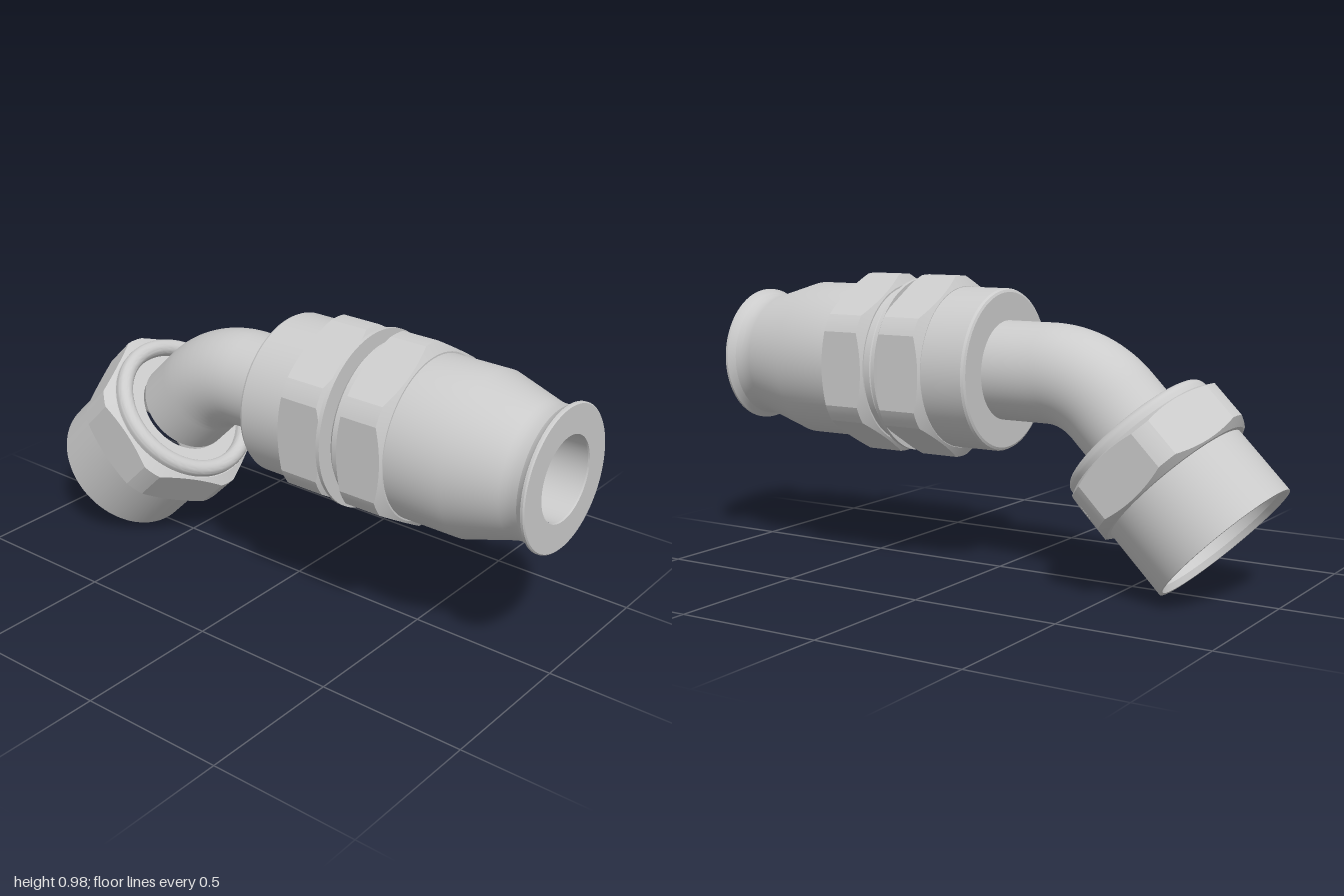
import * as THREE from 'three';
import { toCreasedNormals } from 'three/addons/utils/BufferGeometryUtils.js';

const AXIS_Y = 0.675, BEND = Math.PI / 4;
const TUBE_R = 0.165, BORE_R = 0.136;
const HEX = { flat: 0.28, corner: 0.307, face: 0.272, slope: 0.58, segs: 120 };
const grey = new THREE.MeshStandardMaterial({ color: 0xcccccc });
const greyOpen = new THREE.MeshStandardMaterial({ color: 0xcccccc, side: THREE.DoubleSide });

function part(name, geometry, material = grey) {
  const mesh = new THREE.Mesh(geometry, material);
  mesh.name = name;
  return mesh;
}

// Turned part from [radius, height] pairs, outer side running upward
function turned(name, profile) {
  const pts = profile.map(([r, y]) => new THREE.Vector2(r, y));
  return part(name, toCreasedNormals(new THREE.LatheGeometry(pts, 96), 0.3));
}

// Radius of a hexagon with rounded-off corners, flats at multiples of 60 degrees
function hexRadius(phi) {
  const sector = Math.PI / 3;
  const a = phi - sector * Math.round(phi / sector);
  return Math.min(HEX.corner, HEX.flat / Math.cos(a));
}
const chamfer = (rho) => HEX.slope * (rho - HEX.face);

// Chamfered hexagon nut; columns from..to of the outer wall may be left open
function hexNut(name, inner, y0, y1, from = 0, to = 0) {
  const rows = [[inner, y0], [HEX.face, y0], [HEX.corner, y0], [HEX.corner, y1], [HEX.face, y1], [inner, y1], [inner, y0]];
  const geo = new THREE.LatheGeometry(rows.map(([r, y]) => new THREE.Vector2(r, y)), HEX.segs);
  const pos = geo.attributes.position;
  for (let i = 0; i < pos.count; i++) {
    const row = i % rows.length;
    if (row !== 2 && row !== 3) continue;
    const phi = Math.floor(i / rows.length) / HEX.segs * Math.PI * 2;
    const rho = hexRadius(phi);
    const y = row === 2 ? y0 + chamfer(rho) : y1 - chamfer(rho);
    pos.setXYZ(i, rho * Math.sin(phi), y, rho * Math.cos(phi));
  }
  const index = Array.from(geo.index.array).filter((_, k) => {
    const quad = Math.floor(k / 6), col = Math.floor(quad / (rows.length - 1));
    return !(quad % (rows.length - 1) === 2 && col >= from && col < to);
  });
  geo.setIndex(index);
  return part(name, toCreasedNormals(geo, 0.32));
}

// Flat of the nut pierced by a blind hole
function drilledFlat(phi, y0, y1, s, y, r) {
  const low = [], high = [];
  for (let c = -8; c <= 8; c++) {
    const a = c / HEX.segs * Math.PI * 2, rho = hexRadius(a), x = rho * Math.sin(a);
    low.push(new THREE.Vector2(x, y0 + chamfer(rho)));
    high.unshift(new THREE.Vector2(x, y1 - chamfer(rho)));
  }
  const shape = new THREE.Shape([...low, ...high]);
  shape.holes.push(new THREE.Path().absarc(s, y, r, 0, Math.PI * 2, true));
  const depth = 0.05;
  const group = new THREE.Group();
  group.name = 'drilledFlat';
  const panel = part('flatPanel', new THREE.ShapeGeometry(shape, 16));
  panel.position.z = HEX.flat;
  const wall = part('holeWall', new THREE.CylinderGeometry(r, r, depth, 32, 1, true).rotateX(Math.PI / 2), greyOpen);
  wall.position.set(s, y, HEX.flat - depth / 2);
  const floor = part('holeFloor', new THREE.CircleGeometry(r, 32));
  floor.position.set(s, y, HEX.flat - depth);
  group.add(panel, wall, floor);
  group.rotation.y = phi;
  return group;
}

// Centre line: straight, 45 degree bend, straight
function centreLine(startX, endLength) {
  const bendX = -0.2, R = 0.314;
  const arc = [];
  for (let i = 0; i <= 24; i++) {
    const a = BEND * i / 24;
    arc.push(new THREE.Vector3(bendX - R * Math.sin(a), AXIS_Y - R * (1 - Math.cos(a)), 0));
  }
  const last = arc[arc.length - 1];
  const end = new THREE.Vector3(last.x - endLength * Math.SQRT1_2, last.y - endLength * Math.SQRT1_2, 0);
  const path = new THREE.CurvePath();
  const points = [new THREE.Vector3(startX, AXIS_Y, 0), ...arc, end];
  for (let i = 1; i < points.length; i++) path.add(new THREE.LineCurve3(points[i - 1], points[i]));
  return path;
}

export function createModel() {
  const model = new THREE.Group();
  model.name = 'angledHoseFitting';

  // Bent tube and the passage through it
  model.add(part('bentTube', new THREE.TubeGeometry(centreLine(0.02, 0.13), 80, TUBE_R, 64)));
  model.add(part('bore', new THREE.TubeGeometry(centreLine(0.995, 0.145), 160, BORE_R, 64), greyOpen));

  // Straight hose socket, turned about its own y and laid along x
  const socket = new THREE.Group();
  socket.name = 'hoseSocket';
  socket.position.y = AXIS_Y;
  socket.rotation.z = -Math.PI / 2;
  socket.add(
    turned('collar', [[BORE_R, -0.03], [0.258, -0.03], [0.266, -0.026], [0.27, -0.018], [0.27, 0.15]]),
    hexNut('rearHex', 0.2, 0.135, 0.312),
    turned('washer', [[0.2, 0.302], [0.295, 0.302], [0.295, 0.315], [0.2, 0.315]]),
    turned('groove', [[0.22, 0.31], [0.22, 0.34]]),
    turned('shoulder', [[0.2, 0.332], [0.258, 0.332], [0.267, 0.342], [0.267, 0.375]]),
    hexNut('frontHex', 0.2, 0.365, 0.535),
    turned('sleeve', [[0.267, 0.52], [0.267, 0.735], [0.216, 0.905], [0.213, 0.925], [0.213, 0.945],
      [0.217, 0.965], [0.226, 0.98], [0.234, 0.988], [0.234, 0.996], [0.23, 1], [BORE_R + 0.002, 1], [BORE_R, 0.99]]),
  );
  model.add(socket);

  // Swivel nut on the angled end
  const nut = new THREE.Group();
  nut.name = 'swivelNut';
  nut.position.set(-0.8175, 0.1855, 0);
  nut.rotation.z = -BEND;
  nut.add(
    turned('nutSkirt', [[0.135, 0.28], [0.2, 0.22], [0.235, 0.22], [0.235, 0.02], [0.246, 0], [0.258, 0], [0.258, 0.25]]),
    hexNut('nutHex', 0.16, 0.24, 0.41, 32, 48),
    drilledFlat(Math.PI * 2 / 3, 0.24, 0.41, 0.088, 0.335, 0.028),
  );
  const lip = [[0.268, 0.4]];
  for (let i = 0; i <= 12; i++) {
    const a = Math.PI * i / 12;
    lip.push([0.242 + 0.028 * Math.cos(a), 0.424 + 0.028 * Math.sin(a)]);
  }
  lip.push([0.214, 0.4]);
  nut.add(turned('nutLip', lip));
  model.add(nut);

  return model;
}
